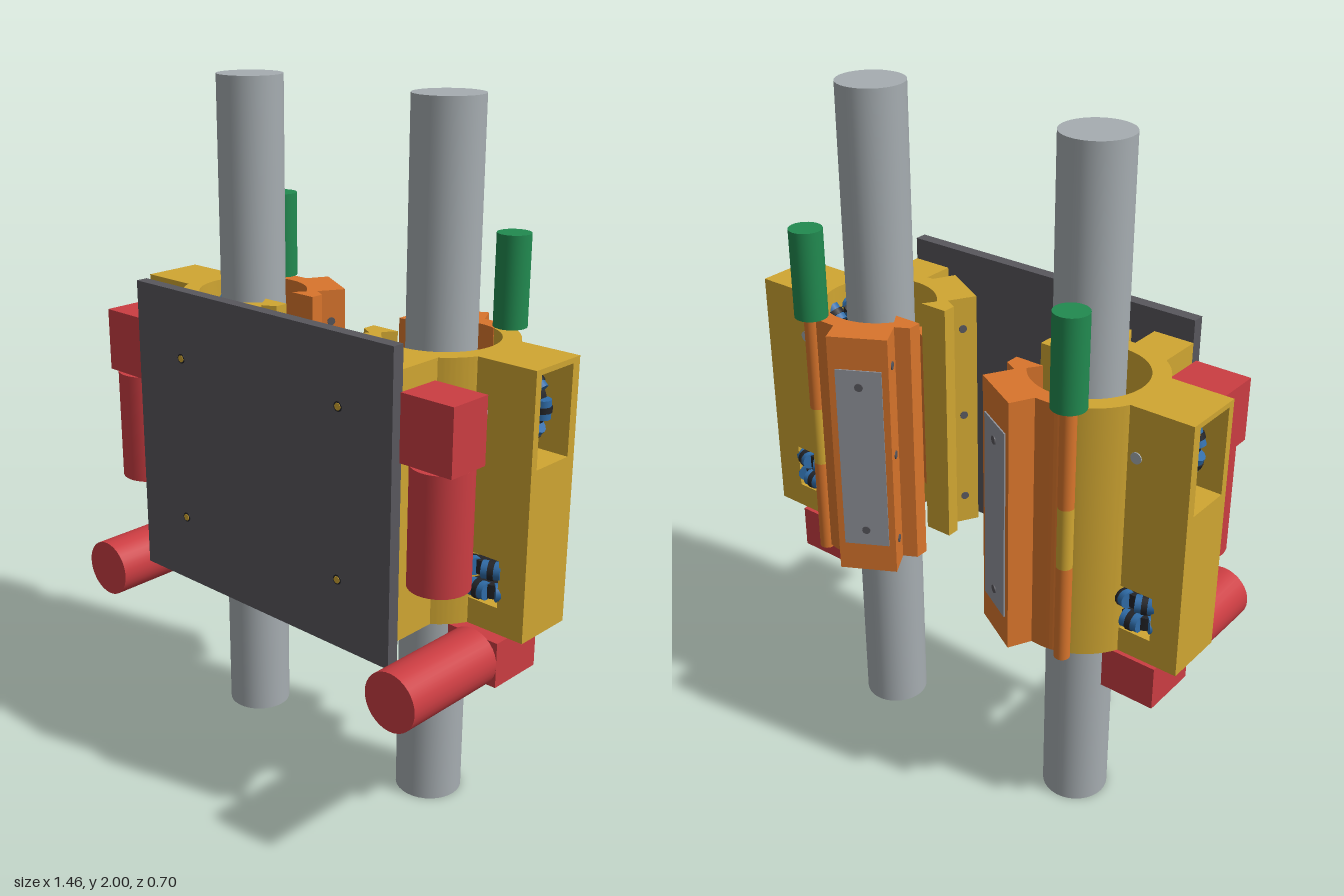
import * as THREE from 'three';
import { mergeGeometries, toCreasedNormals } from 'three/addons/utils/BufferGeometryUtils.js';

const mat = (name, color) => Object.assign(new THREE.MeshStandardMaterial({ color }), { name });

// Rod axis, bore and shell radii, height range of the carriage
const CX = 0.36, CZ = -0.08, BORE = 0.16, SHELL = 0.21, Y0 = 0.63, Y1 = 1.375;
const MOTOR_X = 0.573;
const rad = THREE.MathUtils.degToRad;

const box = (x0, x1, y0, y1, z0, z1) =>
  new THREE.BoxGeometry(x1 - x0, y1 - y0, z1 - z0).translate((x0 + x1) / 2, (y0 + y1) / 2, (z0 + z1) / 2);
const upright = (r, y0, y1, x, z) => new THREE.CylinderGeometry(r, r, y1 - y0, 32).translate(x, (y0 + y1) / 2, z);
const along = (r, z0, z1, x, y) =>
  new THREE.CylinderGeometry(r, r, z1 - z0, 32).rotateX(Math.PI / 2).translate(x, y, (z0 + z1) / 2);

// Extrude an (x, z) outline upwards
function extrudeUp(shape) {
  const g = new THREE.ExtrudeGeometry(shape, { depth: Y1 - Y0, bevelEnabled: false, curveSegments: 32 });
  return toCreasedNormals(g.rotateX(Math.PI / 2).translate(0, Y1, 0), 0.4);
}

// Mirror a geometry in x, restoring the corner order
function mirrorX(geo) {
  const g = geo.index ? geo.toNonIndexed() : geo.clone();
  g.scale(-1, 1, 1);
  for (const a of Object.values(g.attributes)) {
    const n = a.itemSize, arr = a.array;
    for (let i = 0; i < a.count; i += 3)
      for (let k = 0; k < n; k++) {
        const p = (i + 1) * n + k, q = (i + 2) * n + k;
        [arr[p], arr[q]] = [arr[q], arr[p]];
      }
  }
  return g;
}

// Jaw outline from its outer shoulder to the bore; s = 1 front, -1 back
const jaw = (s) => [[-0.017, 0.208], [-0.05, 0.271], [-0.197, 0.189], [-0.154, 0.114],
  [-0.193, 0.093], [-0.193, 0.053], [-0.107, 0.053], [-0.133, 0.09]].map(([x, z]) => [CX + x, CZ + s * z]);

function bodyShape() {
  const s = new THREE.Shape();
  s.moveTo(0.485, 0.222);
  s.lineTo(0.363, 0.222);
  s.lineTo(0.363, CZ + 0.208);
  jaw(1).forEach(([x, z]) => s.lineTo(x, z));
  s.absarc(CX, CZ, BORE, rad(146), rad(-68), true);
  s.absarc(CX, CZ, SHELL, rad(-68), rad(53.5), false);
  return s;
}

function doorShape() {
  const s = new THREE.Shape();
  s.moveTo(CX + SHELL * Math.cos(rad(-69)), CZ + SHELL * Math.sin(rad(-69)));
  s.absarc(CX, CZ, SHELL, rad(-69), rad(-83), true);
  jaw(-1).forEach(([x, z]) => s.lineTo(x, z));
  s.absarc(CX, CZ, BORE, rad(-146), rad(-69), false);
  return s;
}

// Twin-row roller wheel about the y axis: hub, rollers and roller bands
function wheelParts() {
  const hub = [], rollers = [], bands = [];
  [-0.031, 0.031].forEach((y, row) => {
    hub.push(new THREE.CylinderGeometry(0.094, 0.094, 0.04, 32).translate(0, y, 0));
    for (let i = 0; i < 8; i++) {
      const a = (i + row / 2) * Math.PI / 4;
      const place = (r, len) => new THREE.CylinderGeometry(r, r, len, 14)
        .rotateX(Math.PI / 2).translate(0.09, y, 0).rotateY(a);
      rollers.push(place(0.025, 0.052));
      bands.push(place(0.028, 0.016));
    }
  });
  return { dark: mergeGeometries([...hub, ...bands]), bright: mergeGeometries(rollers) };
}

export function createModel() {
  const model = new THREE.Group();
  model.name = 'rodCarriage';
  const gold = mat('gold', 0xd0a632), orange = mat('orange', 0xd9752c), red = mat('red', 0xcb3d42),
    green = mat('green', 0x218a50), steel = mat('steel', 0xa6adb1), slate = mat('slate', 0x58575d),
    blue = mat('blue', 0x2f6ca8), black = mat('black', 0x232428), grey = mat('plate grey', 0x92949c);

  const add = (name, geo, m) => {
    const mesh = new THREE.Mesh(geo, m);
    mesh.name = name;
    model.add(mesh);
  };
  const both = (name, geo, m) => {
    add(name + 'Left', geo, m);
    add(name + 'Right', mirrorX(geo), m);
  };

  // Rods and front plate
  both('rod', upright(0.096, 0, 2, CX, CZ), steel);
  add('frontPlate', box(-0.485, 0.485, 0.56, 1.44, 0.222, 0.258), slate);
  for (const y of [0.76, 1.245]) {
    both('plateBoltRim', along(0.014, 0.256, 0.2595, 0.302, y), black);
    both('plateBolt', along(0.01, 0.256, 0.261, 0.302, y), gold);
  }

  // Clamp shell, hinged door and hinge
  both('clampBody', extrudeUp(bodyShape()), gold);
  both('clampDoor', extrudeUp(doorShape()), orange);
  const hx = 0.437, hz = -0.277;
  both('hingeLower', upright(0.022, 0.62, 0.91, hx, hz), orange);
  both('hingeKnuckle', upright(0.022, 0.91, 1.09, hx, hz), gold);
  both('hingeUpper', upright(0.022, 1.09, Y1, hx, hz), orange);
  both('hingeActuator', upright(0.047, Y1, 1.63, hx, hz), green);

  // Side arm, open sideways for the upper wheel and front to back for the lower one
  const za = -0.175, zb = 0.01;
  both('wheelArm', mergeGeometries([
    box(0.53, 0.73, Y0, 0.705, za, zb),
    box(0.645, 0.73, 0.705, 0.84, za, zb),
    box(0.5, 0.525, 0.705, 0.84, za, zb),
    box(0.53, 0.73, 0.84, 1.11, za, zb),
    box(0.53, 0.73, 1.11, 1.36, za, -0.147),
    box(0.53, 0.73, 1.11, 1.36, -0.012, zb),
    box(0.53, 0.73, 1.36, Y1, za, zb),
  ]), gold);

  // Roller wheels: the upper rolls along the rod, the lower turns around it
  const { dark, bright } = wheelParts();
  for (const [part, geo, m] of [['Hub', dark, black], ['Rollers', bright, blue]]) {
    both('upperWheel' + part, geo.clone().rotateX(Math.PI / 2).translate(0.577, 1.235, CZ), m);
    both('lowerWheel' + part, geo.clone().translate(0.585, 0.773, CZ), m);
  }

  // Gear motors and their shafts
  both('upperShaft', along(0.016, -0.178, 0.11, MOTOR_X, 1.235), steel);
  both('upperGearbox', box(0.49, 0.656, 1.135, 1.32, 0.103, 0.235), red);
  both('upperMotor', upright(0.084, 0.803, 1.135, MOTOR_X, 0.167), red);
  both('lowerShaft', upright(0.016, 0.6, 0.71, MOTOR_X, CZ), steel);
  both('lowerGearbox', box(0.49, 0.656, 0.472, 0.605, -0.16, 0.016), red);
  both('lowerMotor', along(0.084, 0.016, 0.352, MOTOR_X, 0.538), red);

  // Jaw cover plates, bore pads and bolt holes on back (-1) and front (1) jaws
  for (const s of [-1, 1]) {
    const tag = s < 0 ? 'door' : 'body';
    const turn = Math.atan2(-0.487, s * 0.873);
    const onFace = (geo, a, x, z, y) => geo.rotateY(a).translate(CX + x, y, CZ + s * z);
    both(tag + 'CoverPlate', onFace(new THREE.BoxGeometry(0.13, 0.56, 0.008), turn, -0.1235, 0.23, 1), grey);
    both(tag + 'Pad', onFace(new THREE.BoxGeometry(0.09, 0.5, 0.045), turn, -0.067, 0.12, 1), orange);
    const disc = () => new THREE.CylinderGeometry(0.012, 0.012, 0.006, 16).rotateX(Math.PI / 2);
    for (const y of [0.77, 1.23]) both(tag + 'CoverBolt', onFace(disc(), turn, -0.1255, 0.2335, y), slate);
    const side = Math.atan2(-0.867, -s * 0.5);
    for (const y of [0.72, 1, 1.28]) both(tag + 'JawHole', onFace(disc(), side, -0.1755, 0.1515, y), slate);
  }
  return model;
}
